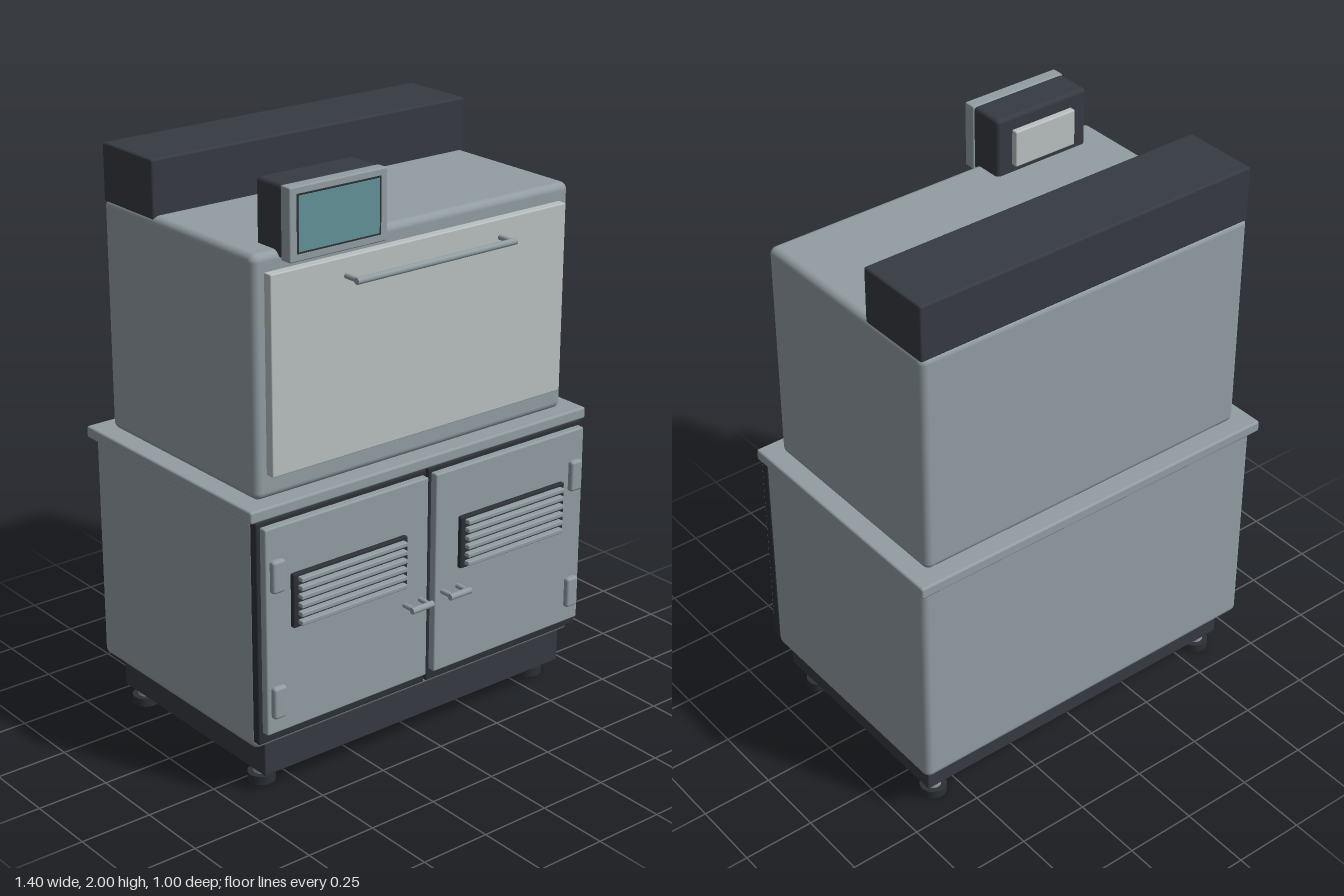
import * as THREE from 'three';
import { RoundedBoxGeometry } from 'three/addons/geometries/RoundedBoxGeometry.js';

const material = (name, color) => {
  const m = new THREE.MeshStandardMaterial({ color });
  m.name = name;
  return m;
};

export function createModel() {
  const steel = material('brushed steel', 0x929da2);
  const pale = material('pale panel', 0xbac1c0);
  const dark = material('dark charcoal', 0x363a42);
  const seal = material('dark seal', 0x2c3136);
  const glass = material('teal screen', 0x629298);
  const model = new THREE.Group();
  model.name = 'workstationCabinet';

  const add = (name, geometry, mat, parent = model) => {
    const mesh = new THREE.Mesh(geometry, mat);
    mesh.name = name;
    parent.add(mesh);
    return mesh;
  };
  // Box given by its extents; r rounds the edges
  const box = (name, mat, [x0, x1], [y0, y1], [z0, z1], r = 0, parent = model) => {
    const s = [x1 - x0, y1 - y0, z1 - z0];
    const g = r ? new RoundedBoxGeometry(...s, 3, r) : new THREE.BoxGeometry(...s);
    add(name, g, mat, parent).position.set((x0 + x1) / 2, (y0 + y1) / 2, (z0 + z1) / 2);
  };
  const rod = (name, mat, r, length, x, y, z, axis = 'y', parent = model) => {
    const g = new THREE.CylinderGeometry(r, r, length, 20);
    if (axis === 'x') g.rotateZ(Math.PI / 2);
    if (axis === 'z') g.rotateX(Math.PI / 2);
    add(name, g, mat, parent).position.set(x, y, z);
  };
  // Horizontal bar on two short posts
  const pull = (name, x0, x1, y, zBase, zBar, r, parent = model) => {
    const g = new THREE.Group();
    g.name = name;
    parent.add(g);
    rod('bar', steel, r, x1 - x0, (x0 + x1) / 2, y, zBar, 'x', g);
    for (const x of [x0 + r, x1 - r]) {
      rod('post', steel, r * 0.8, zBar - zBase, x, y, (zBar + zBase) / 2, 'z', g);
    }
  };

  // Levelling feet
  for (const x of [-0.588, 0.588]) for (const z of [0.29, -0.375]) {
    rod('footPad', seal, 0.046, 0.03, x, 0.015, z);
    rod('footStem', steel, 0.027, 0.05, x, 0.05, z);
  }

  // Stacked body
  box('plinth', dark, [-0.64, 0.64], [0.065, 0.185], [-0.42, 0.38], 0.005);
  box('cabinet', steel, [-0.685, 0.685], [0.178, 0.98], [-0.478, 0.392], 0.025);
  box('countertop', steel, [-0.702, 0.702], [0.972, 1.013], [-0.5, 0.41], 0.008);
  box('upperHousing', steel, [-0.64, 0.64], [1.01, 1.797], [-0.44, 0.355], 0.025);
  box('rearHood', dark, [-0.638, 0.638], [1.785, 1.978], [-0.436, -0.162], 0.008);

  // Upper front panel and its handle
  box('frontPanel', pale, [-0.598, 0.598], [1.092, 1.74], [0.34, 0.386], 0.004);
  pull('panelHandle', -0.323, 0.323, 1.68, 0.385, 0.448, 0.011);

  // Two mirrored doors with vents, hinges and handles
  for (const side of [-1, 1]) {
    const door = new THREE.Group();
    door.name = side < 0 ? 'rightDoor' : 'leftDoor';
    model.add(door);
    const span = (a, b) => (side < 0 ? [-b, -a] : [a, b]);
    box('doorSeal', seal, span(0.004, 0.685), [0.207, 0.973], [0.38, 0.412], 0.006, door);
    box('doorPanel', steel, span(0.016, 0.67), [0.247, 0.957], [0.405, 0.438], 0.006, door);
    box('ventFrame', seal, span(0.113, 0.574), [0.6, 0.785], [0.43, 0.453], 0.006, door);
    for (let i = 0; i < 6; i++) {
      const y = 0.767 - i * 0.0296;
      box('ventSlat', steel, span(0.13, 0.556), [y - 0.008, y + 0.008], [0.445, 0.473], 0.004, door);
    }
    for (const y of [0.36, 0.795]) {
      box('hinge', steel, span(0.604, 0.654), [y - 0.055, y + 0.055], [0.43, 0.457], 0.01, door);
    }
    pull('doorHandle', ...span(0.037, 0.125), 0.535, 0.435, 0.489, 0.011, door);
  }

  // Control monitor on the upper right corner
  const monitor = new THREE.Group();
  monitor.name = 'monitor';
  model.add(monitor);
  box('monitorShell', dark, [-0.543, -0.175], [1.772, 2], [0.243, 0.372], 0.015, monitor);
  box('monitorBezel', steel, [-0.545, -0.174], [1.77, 2], [0.368, 0.412], 0.005, monitor);
  box('screenBorder', seal, [-0.519, -0.199], [1.794, 1.978], [0.409, 0.4125], 0, monitor);
  box('screen', glass, [-0.512, -0.206], [1.8, 1.972], [0.409, 0.414], 0, monitor);
  box('monitorBackPlate', pale, [-0.48, -0.235], [1.822, 1.95], [0.222, 0.25], 0.005, monitor);

  return model;
}
